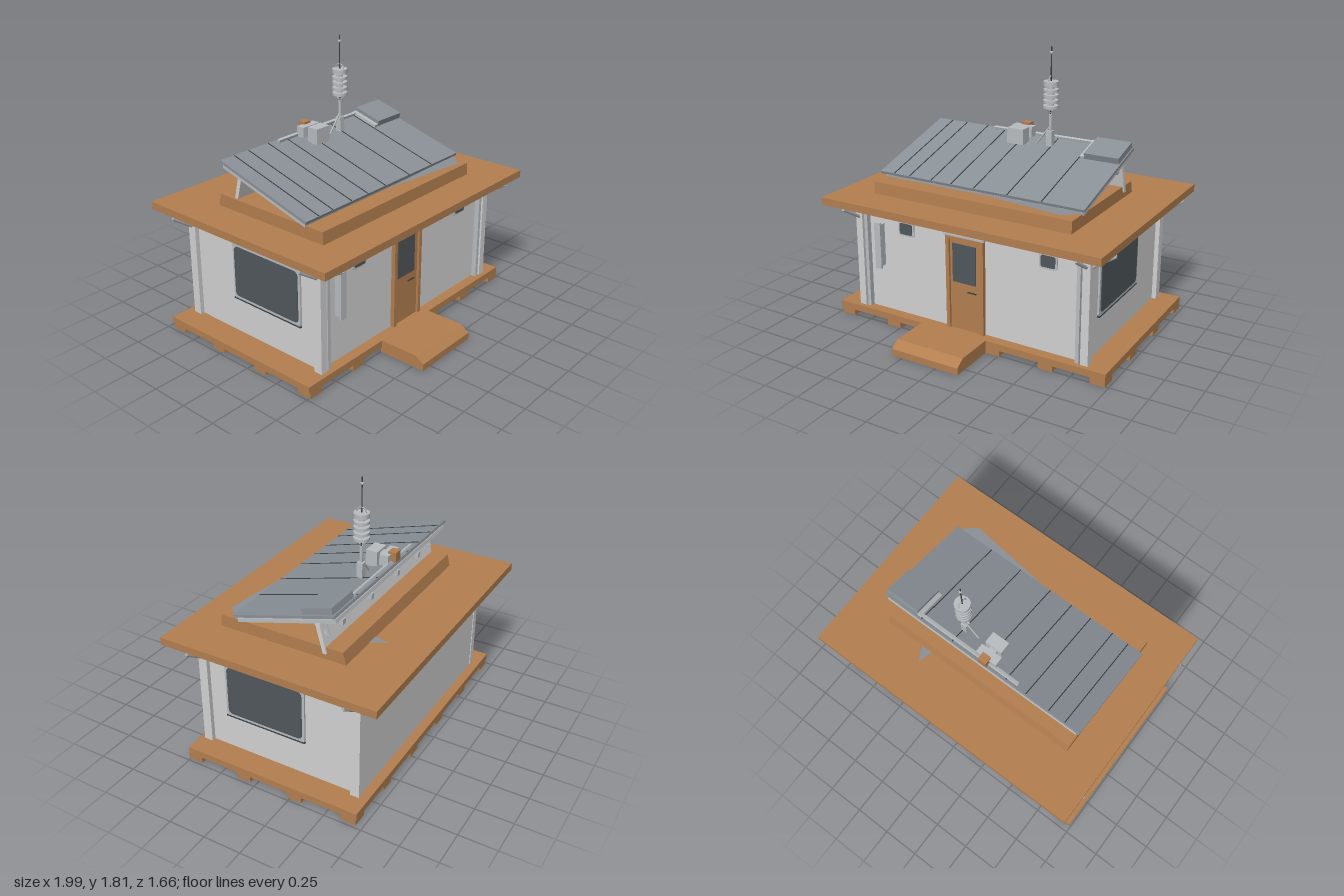
import * as THREE from 'three';

const mat = (name, color, double) => {
  const m = new THREE.MeshStandardMaterial({ color });
  m.name = name;
  if (double) m.side = THREE.DoubleSide;
  return m;
};

export function createModel() {
  const wood = mat('wood', 0xb37f50);
  const wall = mat('paleWall', 0xd2d2d2);
  const panel = mat('panelGrey', 0x8a9197, true);
  const glass = mat('darkGlass', 0x50575b);
  const metal = mat('lightMetal', 0xb9bdc0);
  const seam = mat('seam', 0x3c4043);
  const root = new THREE.Group();
  root.name = 'cabin';

  const add = (name, geo, m, parent = root) => {
    const mesh = new THREE.Mesh(geo, m);
    mesh.name = name;
    parent.add(mesh);
    return mesh;
  };
  // Box given by its minimum and maximum on each axis
  const box = (name, m, x0, x1, y0, y1, z0, z1, parent) => {
    const mesh = add(name, new THREE.BoxGeometry(x1 - x0, y1 - y0, z1 - z0), m, parent);
    mesh.position.set((x0 + x1) / 2, (y0 + y1) / 2, (z0 + z1) / 2);
    return mesh;
  };
  // Square or round bar between two points
  const bar = (name, m, a, b, r, sides = 4) => {
    const p = new THREE.Vector3(...a), q = new THREE.Vector3(...b);
    const mesh = add(name, new THREE.CylinderGeometry(r, r, p.distanceTo(q), sides), m);
    mesh.position.copy(p).lerp(q, 0.5);
    mesh.quaternion.setFromUnitVectors(new THREE.Vector3(0, 1, 0), q.sub(p).normalize());
    return mesh;
  };
  // Side profile in (z, y), swept along x
  const sweepX = (name, m, pts, x0, x1) => {
    const s = new THREE.Shape(pts.map(([z, y]) => new THREE.Vector2(-z, y)));
    const g = new THREE.ExtrudeGeometry(s, { depth: x1 - x0, bevelEnabled: false });
    g.rotateY(Math.PI / 2);
    g.translate(x0, 0, 0);
    return add(name, g, m);
  };
  const rounded = (w, h, r) => {
    const s = new THREE.Shape(), x = w / 2, y = h / 2;
    s.absarc(x - r, y - r, r, 0, Math.PI / 2);
    s.absarc(-x + r, y - r, r, Math.PI / 2, Math.PI);
    s.absarc(-x + r, -y + r, r, Math.PI, Math.PI * 1.5);
    s.absarc(x - r, -y + r, r, Math.PI * 1.5, Math.PI * 2);
    return s;
  };
  const plate = (name, m, w, h, r, d, parent) =>
    add(name, new THREE.ExtrudeGeometry(rounded(w, h, r), { depth: d, bevelEnabled: false, curveSegments: 4 }), m, parent);

  // Platform on short feet, with a front step
  box('platform', wood, -0.99, 0.98, 0.04, 0.085, -0.71, 0.51);
  for (const x of [-0.93, -0.55, -0.17, 0.21, 0.58, 0.93])
    for (const z of [-0.655, -0.28, 0.09, 0.46])
      box('foot', wood, x - 0.05, x + 0.05, 0, 0.04, z - 0.05, z + 0.05);
  sweepX('step', wood, [[0.5, 0], [0.83, 0], [0.83, 0.045], [0.77, 0.085], [0.5, 0.085]], -0.325, 0.16);

  // Walls, roof slab and raised roof base
  box('walls', wall, -0.82, 0.82, 0.085, 0.82, -0.65, 0.44);
  box('roof', wood, -0.99, 0.99, 0.82, 0.87, -0.83, 0.645);
  sweepX('roofBase', wood, [[0.41, 0.87], [0.405, 0.95], [-0.45, 0.95], [-0.47, 0.87]], -0.745, 0.69);

  // Corner posts and eave brackets
  for (const sx of [-1, 1]) for (const [z, sz] of [[0.45, 1], [-0.625, -1]]) {
    const x = sx * 0.825;
    box('cornerPost', wall, x - 0.025, x + 0.025, 0.085, 0.82, z - 0.03, z + 0.03);
    box('postStrip', metal, x - sx * 0.05 - 0.012, x - sx * 0.05 + 0.012, 0.085, 0.82, z - 0.02, z + 0.025);
    const zo = z + sz * 0.18;
    bar('sideBracket', metal, [x, 0.7, z], [sx * 0.99, 0.81, z], 0.011);
    bar('sideRail', metal, [x, 0.812, z], [sx * 0.995, 0.812, z], 0.011);
    bar('eaveBracket', metal, [x, 0.7, z], [x, 0.81, zo], 0.011);
    bar('eaveRail', metal, [x, 0.812, z], [x, 0.812, zo], 0.011);
  }

  // Door with frame and glass
  box('door', wood, -0.135, 0.1, 0.085, 0.705, 0.43, 0.452);
  box('doorFrameLeft', wood, 0.095, 0.12, 0.085, 0.72, 0.43, 0.468);
  box('doorFrameRight', wood, -0.155, -0.13, 0.085, 0.72, 0.43, 0.468);
  box('doorFrameTop', wood, -0.155, 0.12, 0.7, 0.72, 0.43, 0.468);
  box('doorLintel', metal, -0.17, 0.125, 0.72, 0.732, 0.43, 0.468);
  box('doorGlass', glass, -0.11, 0.06, 0.41, 0.67, 0.452, 0.458);
  box('doorHandle', seam, 0.0, 0.06, 0.352, 0.358, 0.452, 0.46);

  // Small front windows and tall wall strip
  for (const x of [-0.47, 0.56]) {
    plate('smallWindowFrame', metal, 0.12, 0.1, 0.015, 0.008).position.set(x, 0.685, 0.44);
    plate('smallWindowGlass', glass, 0.095, 0.075, 0.012, 0.005).position.set(x, 0.685, 0.448);
  }
  box('wallStripMount', metal, -0.685, -0.65, 0.4, 0.69, 0.44, 0.48);
  box('wallStrip', metal, -0.692, -0.645, 0.385, 0.705, 0.48, 0.495);

  // Large rounded windows on both sides
  for (const sx of [-1, 1]) {
    const g = new THREE.Group();
    g.name = 'sideWindow';
    g.position.set(sx * 0.82, 0.52, 0.015);
    g.rotation.y = sx * Math.PI / 2;
    plate('sideWindowFrame', metal, 0.57, 0.385, 0.02, 0.012, g);
    plate('sideWindowGlass', glass, 0.535, 0.34, 0.03, 0.005, g).position.z = 0.012;
    box('windowSill', seam, -0.285, 0.285, -0.197, -0.19, 0, 0.016, g);
    root.add(g);
  }

  // Tilted roof panel with seams and lower tray
  const tilt = new THREE.Group();
  tilt.name = 'tiltedPanel';
  tilt.position.set(0, 1.09, -0.05);
  tilt.rotation.x = 0.278;
  root.add(tilt);
  box('panelTop', panel, -0.77, 0.715, -0.018, 0, -0.37, 0.365, tilt);
  box('panelTray', metal, -0.75, 0.7, -0.055, -0.03, -0.36, 0.35, tilt);
  for (const x of [-0.66, -0.54, -0.37, -0.22, -0.05, 0.19, 0.43])
    box('panelSeam', seam, x - 0.003, x + 0.003, 0, 0.003, -0.365, 0.363, tilt);
  box('raisedPanel', panel, 0.47, 0.71, 0.004, 0.045, -0.36, -0.15, tilt);
  box('raisedPanelRib', metal, 0.44, 0.47, 0, 0.02, -0.36, -0.15, tilt);
  box('ridgeRail', metal, -0.3, 0.45, 0, 0.018, -0.355, -0.335, tilt);
  const flap = new THREE.Shape([[-0.05, -0.3], [0.715, -0.28], [0.61, -0.385]].map(p => new THREE.Vector2(...p)));
  const flapMesh = add('frontFlap', new THREE.ShapeGeometry(flap), panel);
  flapMesh.rotation.x = -Math.PI / 2;
  flapMesh.position.y = 0.965;

  // Back board and the supports of the panel
  sweepX('backBoard', wall, [[-0.27, 1.1], [-0.3, 1.1], [-0.345, 0.91], [-0.32, 0.91]], -0.73, 0.7);
  for (const x of [-0.68, 0.66]) {
    bar('panelStrut', metal, [x, 1.11, -0.19], [x, 1.02, -0.34], 0.018);
    bar('panelProp', metal, [x, 1.13, -0.3], [x, 1.02, -0.34], 0.015);
    box('frontProp', metal, x - 0.02, x + 0.02, 0.94, 0.97, 0.2, 0.27);
  }
  for (const x of [-0.5, -0.2, 0.15, 0.5]) box('boardClip', metal, x - 0.015, x + 0.015, 1.01, 1.05, -0.35, -0.31);

  // Roof instrument boxes
  box('instrumentFront', metal, -0.11, 0.01, 1.15, 1.255, -0.3, -0.22);
  box('instrumentBack', metal, -0.13, 0.02, 1.18, 1.25, -0.38, -0.32);
  box('instrumentBridge', metal, -0.08, -0.03, 1.2, 1.24, -0.33, -0.29);
  box('instrumentCap', wood, -0.08, -0.02, 1.2, 1.265, -0.415, -0.36);

  // Antenna mast, ringed body, cage and whip
  const ax = 0.18, az = -0.28;
  bar('mast', metal, [ax, 1.0, az], [ax, 1.37, az], 0.011, 8);
  bar('mastBrace', metal, [0.08, 1.16, az], [ax, 1.29, az], 0.006, 6);
  box('mastClamp', metal, ax - 0.02, ax + 0.02, 1.16, 1.26, az - 0.02, az + 0.02);
  bar('antennaCore', metal, [ax, 1.4, az], [ax, 1.585, az], 0.022, 12);
  for (let i = 0; i < 5; i++)
    add('antennaRing', new THREE.CylinderGeometry(0.05, 0.05, i === 4 ? 0.03 : 0.018, 16), metal)
      .position.set(ax, i === 4 ? 1.573 : 1.42 + i * 0.036, az);
  for (const sy of [-1, 1]) {
    const arc = add('antennaCage', new THREE.TorusGeometry(0.035, 0.004, 5, 14, Math.PI), metal);
    arc.position.set(ax, sy > 0 ? 1.585 : 1.415, az);
    arc.rotation.set(sy > 0 ? 0 : Math.PI, Math.PI / 2, 0);
  }
  bar('whip', seam, [ax, 1.36, az], [ax, 1.81, az], 0.004, 6);
  add('whipBead', new THREE.SphereGeometry(0.011, 8, 6), metal).position.set(ax, 1.77, az);

  // Small loose sheet on the roof
  const sheet = add('roofSheet', new THREE.ShapeGeometry(new THREE.Shape(
    [[0.33, 0.46], [0.41, 0.47], [0.36, 0.57]].map(p => new THREE.Vector2(...p)))), panel);
  sheet.rotation.x = -Math.PI / 2;
  sheet.position.y = 0.875;
  return root;
}
